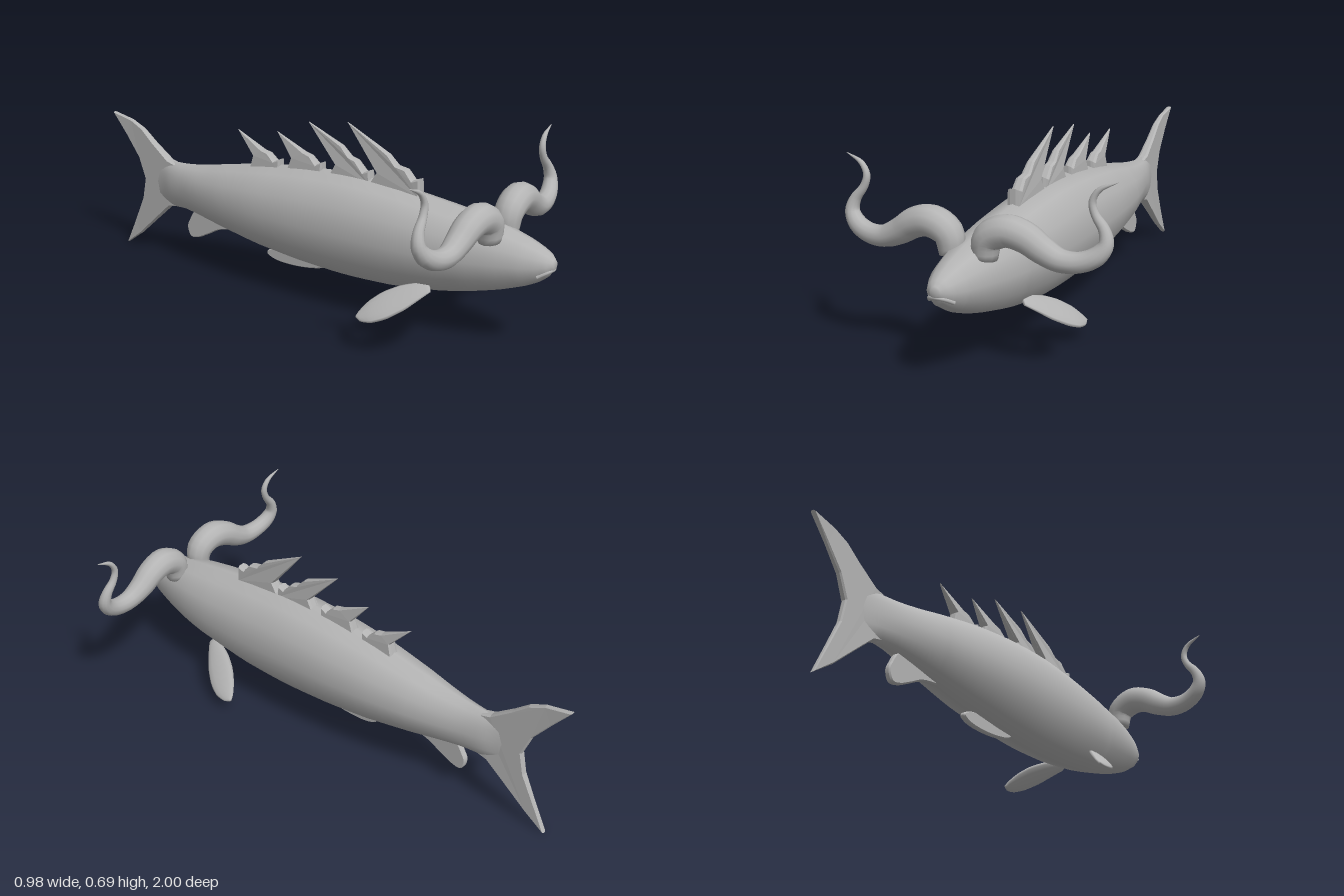
import * as THREE from 'three';

const skin = new THREE.MeshStandardMaterial({ color: 0xb4b4b4 });
skin.name = 'grey skin';

const V = (x, y, z) => new THREE.Vector3(x, y, z);

// Smooth closed loft. Rows are [x, y, z, radiusU, radiusV]; u is the ring's first axis,
// fixedDir replaces the path tangent when the rings must stay parallel.
function loft(rows, u, steps, sides, fixedDir) {
  const path = new THREE.CatmullRomCurve3(rows.map(r => V(r[0], r[1], r[2])));
  const size = new THREE.CatmullRomCurve3(rows.map(r => V(r[3], r[4], 0)));
  const pos = [], index = [];
  for (let i = 0; i <= steps; i++) {
    const t = i / steps, p = path.getPoint(t), s = size.getPoint(t);
    const d = fixedDir || path.getTangent(t);
    const v = u.clone().cross(d).normalize();
    for (let j = 0; j < sides; j++) {
      const a = (j / sides) * Math.PI * 2;
      const q = p.clone().addScaledVector(u, Math.cos(a) * s.x).addScaledVector(v, Math.sin(a) * s.y);
      pos.push(q.x, q.y, q.z);
      if (i < steps) {
        const k = (j + 1) % sides, r0 = i * sides, r1 = r0 + sides;
        index.push(r0 + j, r1 + j, r0 + k, r0 + k, r1 + j, r1 + k);
      }
    }
  }
  // end caps
  const first = pos.length / 3, last = first + 1, end = steps * sides;
  pos.push(...path.getPoint(0).toArray(), ...path.getPoint(1).toArray());
  for (let j = 0; j < sides; j++) {
    const k = (j + 1) % sides;
    index.push(first, j, k, last, end + k, end + j);
  }
  const g = new THREE.BufferGeometry();
  g.setAttribute('position', new THREE.Float32BufferAttribute(pos, 3));
  g.setIndex(index);
  g.computeVertexNormals();
  return g;
}

// Upright bevelled plate from a [z, y] outline; halfWidth(z, y) sets its thickness.
function plate(outline, halfWidth, smooth) {
  const pts = outline.map(p => new THREE.Vector2(p[0], p[1]));
  let shape = new THREE.Shape(pts);
  if (smooth) {
    shape = new THREE.Shape().moveTo(pts[0].x, pts[0].y);
    shape.splineThru(pts.slice(1));
  }
  const g = new THREE.ExtrudeGeometry(shape, {
    depth: 1, curveSegments: 24, bevelEnabled: true, bevelSegments: 1,
    bevelThickness: 0.5, bevelSize: 0.004, bevelOffset: -0.004,
  });
  g.translate(0, 0, -0.5);
  g.rotateY(-Math.PI / 2);
  const p = g.attributes.position;
  for (let i = 0; i < p.count; i++) p.setX(i, p.getX(i) * halfWidth(p.getZ(i), p.getY(i)));
  g.computeVertexNormals();
  return g;
}

export function createModel() {
  const model = new THREE.Group();
  model.name = 'hornedFish';
  const add = (name, geometry) => {
    const m = new THREE.Mesh(geometry, skin);
    m.name = name;
    model.add(m);
  };

  // Body: z, top, bottom, half width
  const body = [
    [1, 0.345, 0.315, 0.014], [0.98, 0.365, 0.287, 0.038], [0.95, 0.382, 0.262, 0.055],
    [0.9, 0.402, 0.235, 0.075], [0.8, 0.432, 0.197, 0.102], [0.7, 0.452, 0.168, 0.122],
    [0.6, 0.467, 0.147, 0.136], [0.4, 0.492, 0.121, 0.148], [0.2, 0.505, 0.115, 0.15],
    [0, 0.497, 0.126, 0.147], [-0.2, 0.474, 0.148, 0.134], [-0.4, 0.438, 0.181, 0.104],
    [-0.5, 0.418, 0.199, 0.082], [-0.6, 0.405, 0.212, 0.057], [-0.68, 0.402, 0.212, 0.039],
    [-0.74, 0.4, 0.215, 0.021], [-0.82, 0.37, 0.245, 0.006],
  ].map(([z, top, low, w]) => [0, (top + low) / 2, z, w, (top - low) / 2]);
  add('body', loft(body, V(1, 0, 0), 64, 12, V(0, 0, -1)));

  // Lip arched over the mouth
  const lip = new THREE.CatmullRomCurve3([
    V(-0.044, 0.29, 0.955), V(-0.026, 0.307, 0.983), V(0, 0.312, 0.993),
    V(0.026, 0.307, 0.983), V(0.044, 0.29, 0.955),
  ]);
  add('lip', new THREE.TubeGeometry(lip, 20, 0.007, 8));

  // Forked tail
  add('tailFin', plate([
    [-0.66, 0.395], [-0.7, 0.406], [-0.78, 0.465], [-0.84, 0.515], [-0.9, 0.543], [-1, 0.562],
    [-0.93, 0.475], [-0.865, 0.39], [-0.832, 0.305], [-0.85, 0.22], [-0.9, 0.115], [-0.952, 0.003],
    [-0.87, 0.06], [-0.78, 0.14], [-0.7, 0.21], [-0.66, 0.22],
  ], z => THREE.MathUtils.mapLinear(THREE.MathUtils.clamp(z, -0.9, -0.7), -0.9, -0.7, 0.01, 0.02)));

  // Lower midline fins
  add('pelvicFin', plate([
    [0.1, 0.135], [0.05, 0.107], [-0.05, 0.092], [-0.15, 0.094], [-0.2, 0.113],
    [-0.185, 0.135], [-0.1, 0.155], [0.05, 0.15],
  ], () => 0.012, true));
  add('analFin', plate([
    [-0.32, 0.18], [-0.43, 0.163], [-0.5, 0.13], [-0.55, 0.107], [-0.59, 0.102], [-0.608, 0.135],
    [-0.6, 0.17], [-0.55, 0.225], [-0.42, 0.22],
  ], () => 0.012, true));

  // Ragged spines along the back, swept towards the tail
  const spines = [
    [[0.48, 0.47], [0.478, 0.535], [0.45, 0.525], [0.42, 0.56], [0.38, 0.567], [0.345, 0.602],
      [0.165, 0.692], [0.3, 0.53], [0.27, 0.48]],
    [[0.275, 0.48], [0.27, 0.53], [0.245, 0.52], [0.21, 0.558], [0.18, 0.567], [0.145, 0.602],
      [-0.008, 0.668], [0.12, 0.53], [0.09, 0.47]],
    [[0.06, 0.47], [0.06, 0.525], [0.035, 0.513], [0.005, 0.542], [-0.025, 0.55],
      [-0.152, 0.608], [-0.08, 0.52], [-0.1, 0.46]],
    [[-0.135, 0.46], [-0.135, 0.503], [-0.16, 0.493], [-0.19, 0.52], [-0.22, 0.527],
      [-0.342, 0.588], [-0.26, 0.5], [-0.275, 0.44]],
  ];
  spines.forEach((outline, i) => {
    const tip = Math.max(...outline.map(p => p[1])), base = outline[0][1];
    add('backSpine' + (i + 1), plate(outline,
      (z, y) => 0.023 * (1 - 0.9 * Math.max(0, (y - base) / (tip - base)) ** 1.6)));
  });

  // Paired horns and pectoral fins
  const horn = [
    [0.06, 0.39, 0.785, 0.042], [0.072, 0.455, 0.785, 0.051], [0.135, 0.486, 0.782, 0.054],
    [0.2, 0.472, 0.778, 0.051], [0.26, 0.436, 0.775, 0.045], [0.32, 0.411, 0.775, 0.038],
    [0.385, 0.413, 0.77, 0.034], [0.438, 0.438, 0.76, 0.031], [0.462, 0.475, 0.75, 0.025],
    [0.452, 0.517, 0.742, 0.019], [0.42, 0.56, 0.737, 0.014], [0.409, 0.6, 0.735, 0.012],
    [0.43, 0.638, 0.732, 0.009], [0.49, 0.666, 0.727, 0.001],
  ];
  const fin = [
    [0.085, 0.18, 0.575, 0.02], [0.11, 0.163, 0.54, 0.036], [0.14, 0.138, 0.495, 0.052],
    [0.17, 0.112, 0.45, 0.056], [0.198, 0.085, 0.405, 0.046], [0.215, 0.065, 0.37, 0.022],
    [0.219, 0.06, 0.357, 0.004],
  ];
  for (const [s, side] of [[1, 'left'], [-1, 'right']]) {
    add(side + 'Horn', loft(horn.map(([x, y, z, r]) => [x * s, y, z, r, r]), V(0, 0, 1), 52, 12));
    add(side + 'PectoralFin', loft(fin.map(([x, y, z, w]) => [x * s, y, z, w, 0.004 + w * 0.14]),
      V(0.61 * s, -0.61, 0.5).normalize(), 18, 12, V(0.5 * s, -0.43, -0.75).normalize()));
  }
  return model;
}
